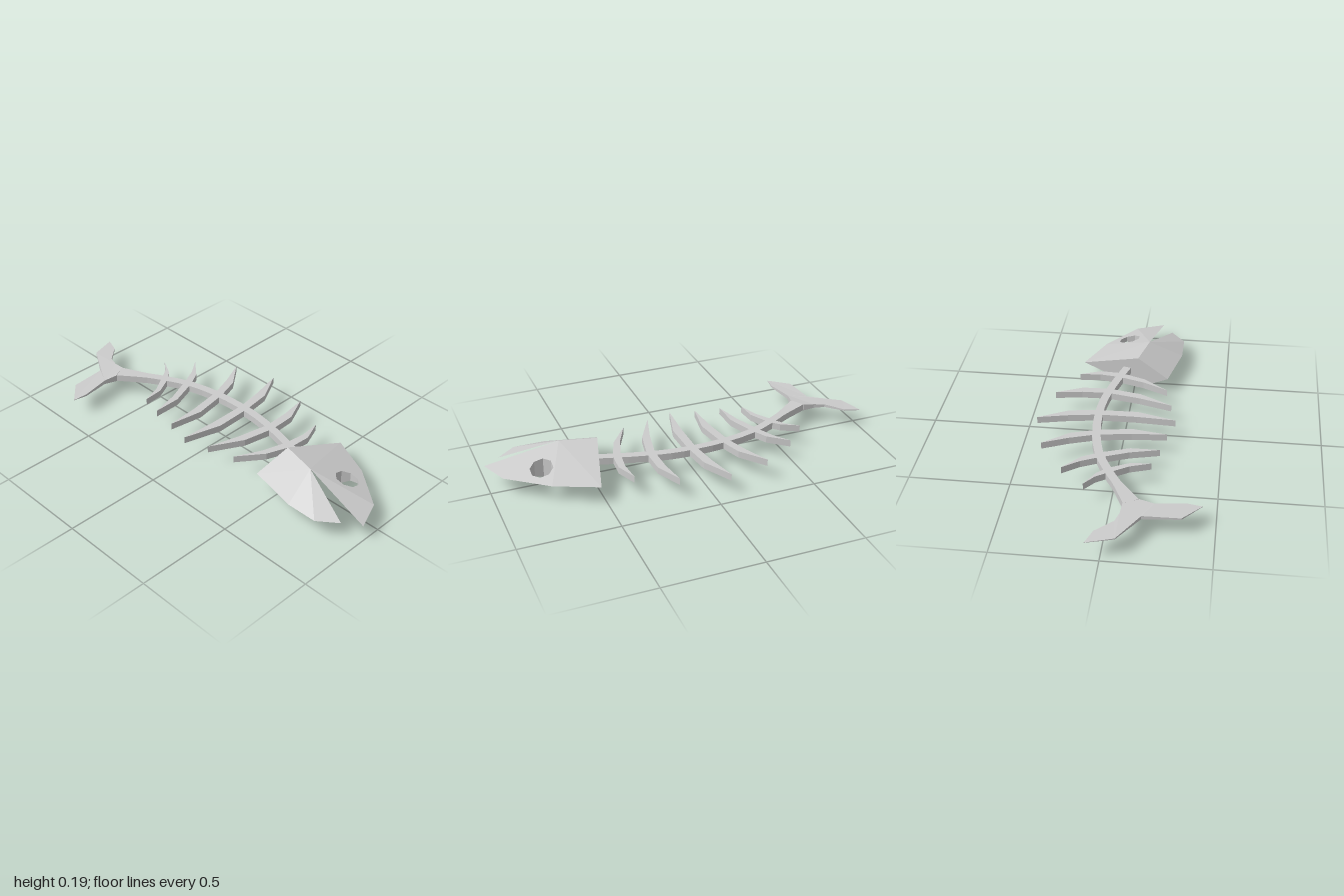
import * as THREE from 'three';

const material = new THREE.MeshStandardMaterial({ color: 0xcccccc, flatShading: true });
const HEAD_Y = 0.0925, BONE_Y = 0.098, BONE_H = 0.018;

// Collects triangles mirrored about a horizontal mid plane. Points are [x, z, h],
// where h is the height above (and below) the plane.
function mirroredSolid(midY) {
  const pos = [];
  const push = (p, s) => pos.push(p[0], midY + s * p[2], p[1]);
  return {
    // one face on top and its mirror image underneath
    cap(a, b, c) {
      const up = (b[0] - a[0]) * (a[1] - c[1]) - (a[1] - b[1]) * (c[0] - a[0]);
      if (up < 0) [b, c] = [c, b];
      [a, b, c].forEach((p) => push(p, 1));
      [a, c, b].forEach((p) => push(p, -1));
    },
    // upright wall below the edge a-b, facing right of the direction of travel
    wall(a, b) {
      push(a, -1); push(b, -1); push(b, 1);
      push(a, -1); push(b, 1); push(a, 1);
    },
    mesh(name) {
      const g = new THREE.BufferGeometry();
      g.setAttribute('position', new THREE.Float32BufferAttribute(pos, 3));
      g.computeVertexNormals();
      const m = new THREE.Mesh(g, material);
      m.name = name;
      return m;
    },
  };
}

const flat = (pts) => pts.map(([x, z]) => new THREE.Vector2(x, -z));

// Solid plate from an outline
function plate(name, outline) {
  const pts = THREE.ShapeUtils.area(flat(outline)) < 0 ? [...outline].reverse() : outline;
  const solid = mirroredSolid(BONE_Y);
  for (const f of THREE.ShapeUtils.triangulateShape(flat(pts), [])) solid.cap(...f.map((i) => pts[i]));
  pts.forEach((p, i) => solid.wall(p, pts[(i + 1) % pts.length]));
  return solid.mesh(name);
}

function createHead() {
  const s = mirroredSolid(HEAD_Y), H = HEAD_Y;
  const ridge = [0.445, 0.02, H], hinge = [0.63, 0.065, H];
  const crown = [0.525, -0.285, 0], brow = [0.74, -0.19, 0];
  const snout = [0.94, -0.035, 0], upperLip = [1.0, 0.115, 0];
  const throat = [0.4, 0.185, 0], chin = [0.66, 0.245, 0];
  const jaw = [0.82, 0.245, 0], lowerLip = [0.915, 0.17, 0];

  // skull
  s.cap(ridge, hinge, crown);
  s.cap(hinge, brow, crown);
  s.cap(hinge, upperLip, snout);

  // cheek with the eye hole cut through
  const cheek = [hinge, snout, brow];
  const plane = new THREE.Plane().setFromCoplanarPoints(
    ...cheek.map(([x, z, h]) => new THREE.Vector3(x, h, z)));
  const eye = [];
  for (let i = 0; i < 8; i++) {
    const a = ((i + 0.5) / 8) * Math.PI * 2;
    const x = 0.755 + 0.058 * Math.cos(a), z = -0.06 - 0.058 * Math.sin(a);
    eye.push([x, z, -(plane.normal.x * x + plane.normal.z * z + plane.constant) / plane.normal.y]);
  }
  const all = [...cheek, ...[...eye].reverse()];
  for (const f of THREE.ShapeUtils.triangulateShape(flat(cheek), [flat([...eye].reverse())])) {
    s.cap(...f.map((i) => all[i]));
  }
  eye.forEach((p, i) => s.wall(eye[(i + 1) % 8], p));

  // lower jaw
  s.cap(ridge, throat, hinge);
  s.cap(throat, chin, hinge);
  s.cap(chin, jaw, hinge);
  s.cap(jaw, lowerLip, hinge);

  // mouth and back of the head
  s.wall(upperLip, hinge);
  s.wall(hinge, lowerLip);
  s.wall(crown, ridge);
  s.wall(ridge, throat);
  return s.mesh('head');
}

// Curved blade that swells in the middle and ends in a point
function createRib(name, base, tip, width) {
  const mid = [(base[0] + tip[0]) / 2 + 0.018, (base[1] + tip[1]) / 2];
  return plate(name, [
    [base[0] - 0.021, base[1], BONE_H], [mid[0] - width, mid[1], BONE_H],
    [tip[0], tip[1], BONE_H],
    [mid[0] + width, mid[1], BONE_H], [base[0] + 0.021, base[1], BONE_H],
  ]);
}

function createSpine() {
  const path = new THREE.CatmullRomCurve3([
    [0.5, -0.03], [0.3, -0.087], [0.14, -0.122], [0, -0.133], [-0.19, -0.122],
    [-0.36, -0.083], [-0.5, -0.017], [-0.6, 0.042], [-0.71, 0.108],
  ].map(([x, z]) => new THREE.Vector3(x, 0, z)));
  const upper = [], lower = [], n = 18;
  for (let i = 0; i <= n; i++) {
    const p = path.getPoint(i / n), t = path.getTangent(i / n);
    const w = 0.021 + 0.018 * Math.max(0, (-0.58 - p.x) / 0.13);
    upper.push([p.x - t.z * w, p.z + t.x * w, BONE_H]);
    lower.unshift([p.x + t.z * w, p.z - t.x * w, BONE_H]);
  }
  return plate('spine', [...upper, ...lower]);
}

export function createModel() {
  const model = new THREE.Group();
  model.name = 'fishSkeleton';
  model.add(createHead(), createSpine());

  // forked tail, thinning towards its tips
  model.add(plate('tail', [
    [-1.0, -0.065, 0.001], [-0.92, -0.035, 0.004], [-0.845, 0.05, 0.008], [-0.79, 0.067, 0.011],
    [-0.73, 0.072, BONE_H], [-0.69, 0.145, BONE_H], [-0.705, 0.215, 0.011],
    [-0.68, 0.36, 0.005], [-0.69, 0.435, 0.001], [-0.79, 0.345, 0.004],
    [-0.8, 0.165, 0.009], [-0.96, 0.065, 0.003],
  ]));

  // ribs: base, upper tip, lower tip, half width
  const ribs = [
    [[-0.49, -0.03], [-0.605, -0.128], [-0.41, 0.175], 0.014],
    [[-0.37, -0.085], [-0.49, -0.25], [-0.295, 0.205], 0.018],
    [[-0.18, -0.125], [-0.3, -0.38], [-0.16, 0.228], 0.022],
    [[0.0, -0.133], [-0.08, -0.44], [-0.03, 0.26], 0.023],
    [[0.21, -0.11], [0.165, -0.385], [0.105, 0.228], 0.021],
    [[0.375, -0.068], [0.36, -0.285], [0.25, 0.193], 0.017],
  ];
  for (const [base, top, bottom, width] of ribs) {
    model.add(createRib('upperRib', base, top, width), createRib('lowerRib', base, bottom, width));
  }
  return model;
}
